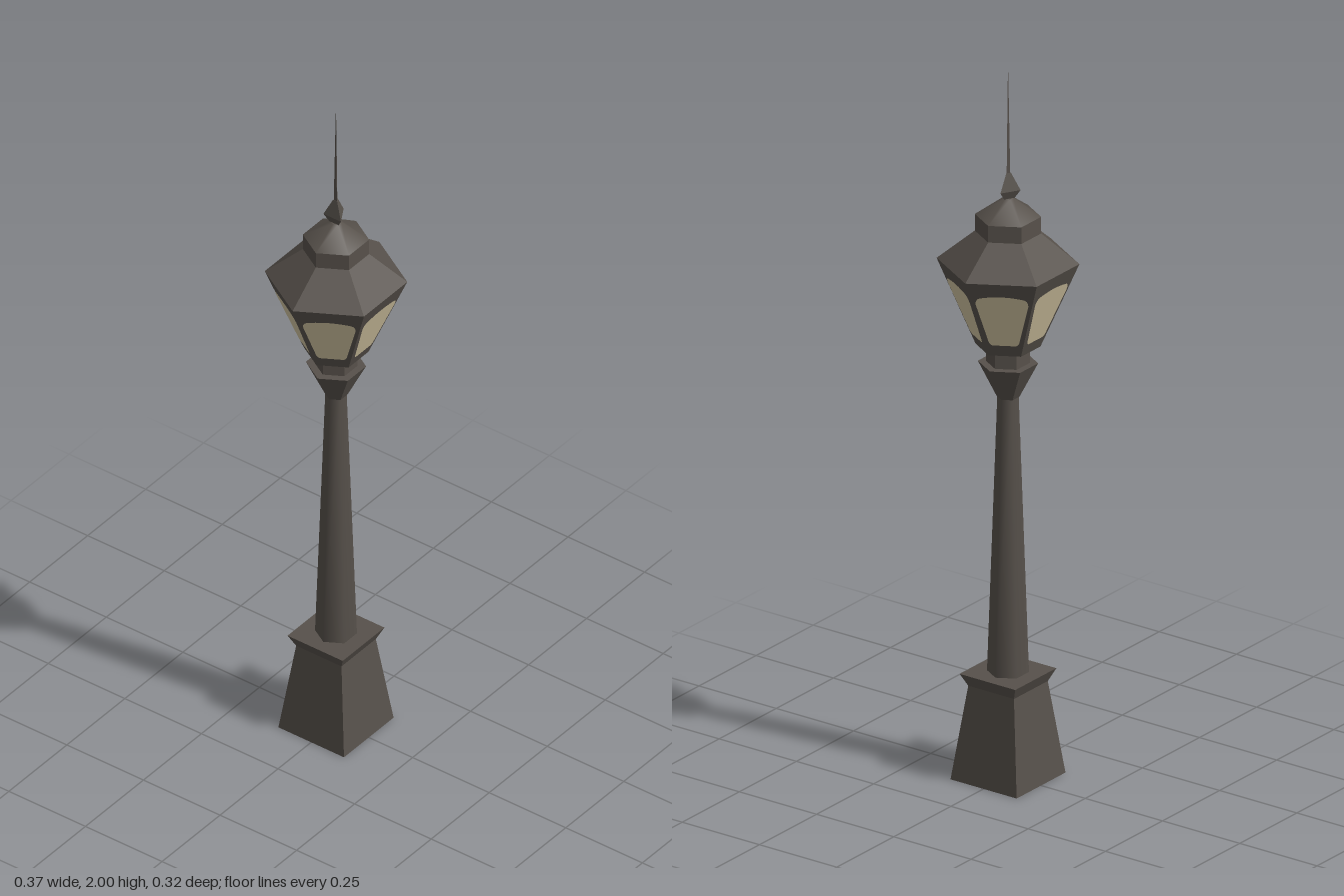
import * as THREE from 'three';

export function createModel() {
  const group = new THREE.Group();
  group.name = 'streetLamp';

  const iron = new THREE.MeshStandardMaterial({ color: 0x57514b });
  iron.name = 'dark iron';
  const glass = new THREE.MeshStandardMaterial({ color: 0xd3c6a2 });
  glass.name = 'warm glass';

  const add = (name, geometry, material) => {
    const mesh = new THREE.Mesh(geometry, material);
    mesh.name = name;
    group.add(mesh);
    return mesh;
  };

  // Tapered prism between two heights; a corner (or a flat, for 4 sides) faces +x
  const section = (name, sides, y0, r0, y1, r1, smooth = false) => {
    let g = new THREE.CylinderGeometry(r1, r0, y1 - y0, sides);
    g.rotateY(sides === 4 ? Math.PI / 4 : Math.PI / 2);
    g.translate(0, (y0 + y1) / 2, 0);
    if (!smooth) {
      g = g.toNonIndexed();
      g.computeVertexNormals();
    }
    add(name, g, iron);
  };

  // Square pedestal
  const diag = Math.SQRT2;
  section('pedestal', 4, 0, 0.107 * diag, 0.262, 0.074 * diag);
  section('pedestalCap', 4, 0.262, 0.074 * diag, 0.297, 0.09 * diag);

  // Post and collar
  section('post', 6, 0.297, 0.055, 1.08, 0.028, true);
  section('collar', 6, 1.075, 0.03, 1.172, 0.079);
  section('neck', 6, 1.172, 0.057, 1.22, 0.057);

  // Lantern body, roof and vent
  const low = { y: 1.22, r: 0.085 };
  const high = { y: 1.458, r: 0.187 };
  section('lanternFrame', 6, low.y, low.r, high.y, high.r);
  section('roof', 6, high.y, high.r, 1.54, 0.087);
  section('vent', 6, 1.54, 0.087, 1.587, 0.087);
  section('ventCap', 6, 1.587, 0.087, 1.638, 0.014, true);

  // Three-sided finial and needle
  section('finialLower', 3, 1.63, 0.012, 1.66, 0.033);
  section('finialUpper', 3, 1.66, 0.033, 1.708, 0.008);
  section('needle', 3, 1.70, 0.006, 2.0, 0.0005);

  // Glass pane outline with rounded corners, leaned onto the sloping frame
  const pane = new THREE.Shape();
  pane.moveTo(-0.03, 1.255);
  pane.lineTo(0.03, 1.255);
  pane.quadraticCurveTo(0.038, 1.256, 0.041, 1.27);
  pane.lineTo(0.069, 1.39);
  pane.quadraticCurveTo(0.07, 1.41, 0.054, 1.412);
  pane.quadraticCurveTo(0, 1.424, -0.054, 1.412);
  pane.quadraticCurveTo(-0.07, 1.41, -0.069, 1.39);
  pane.lineTo(-0.041, 1.27);
  pane.quadraticCurveTo(-0.038, 1.256, -0.03, 1.255);
  const paneGeometry = new THREE.ShapeGeometry(pane, 6);
  const pos = paneGeometry.attributes.position;
  for (let i = 0; i < pos.count; i++) {
    const t = (pos.getY(i) - low.y) / (high.y - low.y);
    const r = low.r + t * (high.r - low.r);
    pos.setZ(i, r * Math.cos(Math.PI / 6) + 0.002);
  }
  paneGeometry.computeVertexNormals();
  for (let i = 0; i < 6; i++) {
    add('glassPane' + (i + 1), paneGeometry, glass).rotation.y = i * Math.PI / 3;
  }

  // Pale rim under the lantern
  const rim = new THREE.RingGeometry(0.066, 0.077, 6, 1);
  rim.rotateX(Math.PI / 2);
  rim.translate(0, low.y - 0.002, 0);
  add('lanternRim', rim, glass);

  return group;
}
